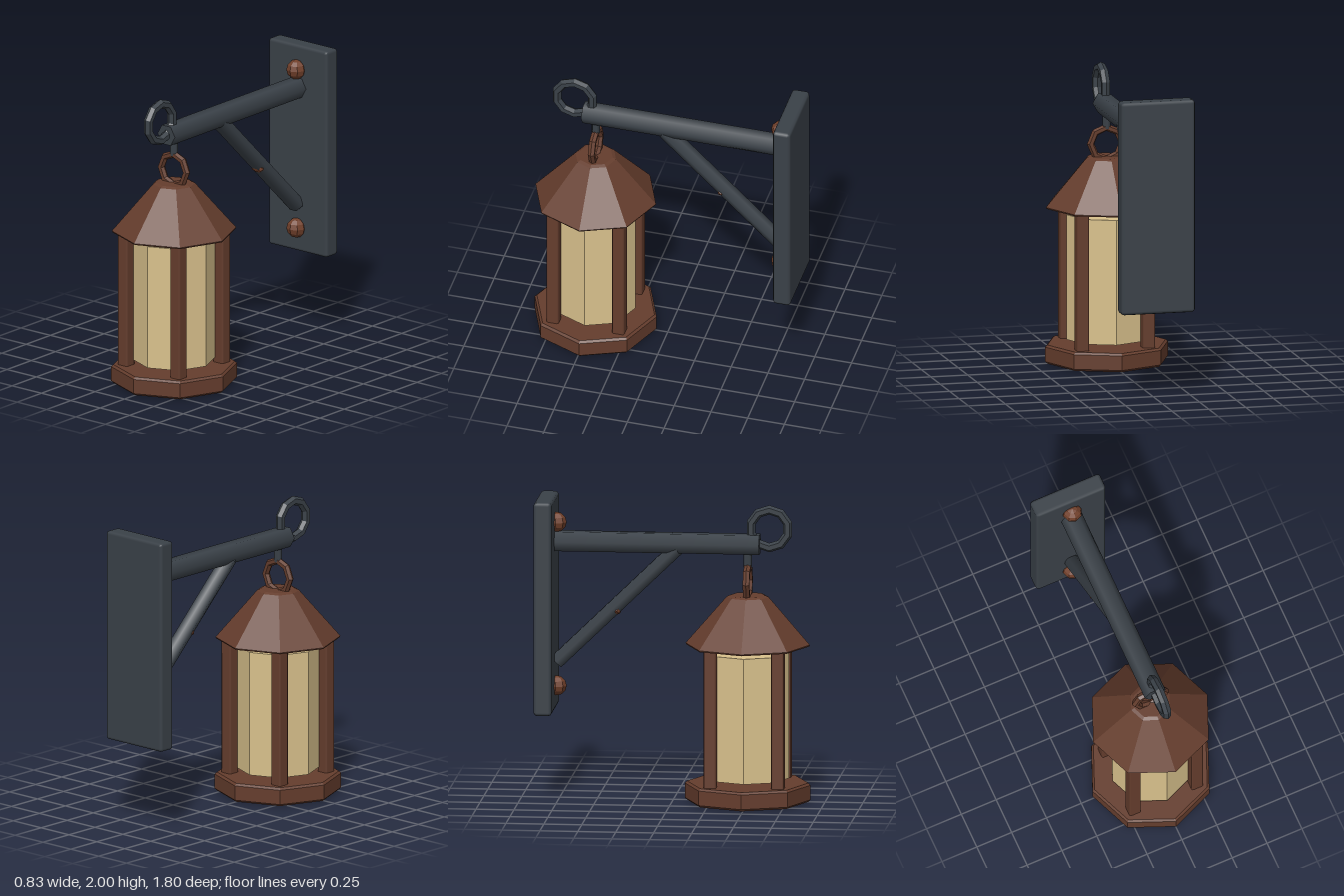
import * as THREE from 'three';
import { RoundedBoxGeometry } from 'three/addons/geometries/RoundedBoxGeometry.js';

const mat = (name, color) => {
  const m = new THREE.MeshStandardMaterial({ color });
  m.name = name;
  return m;
};

// Split every face so that facets stay crisp
function faceted(geometry) {
  const g = geometry.index ? geometry.toNonIndexed() : geometry;
  g.computeVertexNormals();
  return g;
}

export function createModel() {
  const iron = mat('dark iron', 0x3a4148);
  const copper = mat('brown copper', 0x653d2d);
  const rust = mat('rust', 0x71402b);
  const glass = mat('amber glass', 0xd9c18c);

  const model = new THREE.Group();
  model.name = 'wallLantern';
  const add = (parent, name, geometry, material, x = 0, y = 0, z = 0) => {
    const mesh = new THREE.Mesh(geometry, material);
    mesh.name = name;
    mesh.position.set(x, y, z);
    parent.add(mesh);
    return mesh;
  };

  // Six-sided bar between two points, corners facing sideways
  const bar = (name, from, to, radius) => {
    const dir = to.clone().sub(from);
    const g = new THREE.CylinderGeometry(radius, radius, dir.length(), 6);
    g.rotateY(Math.PI / 6);
    const mesh = add(bracket, name, g, iron);
    mesh.position.copy(from).add(to).multiplyScalar(0.5);
    mesh.quaternion.setFromUnitVectors(new THREE.Vector3(0, 1, 0), dir.normalize());
    return mesh;
  };

  // Wall bracket
  const bracket = new THREE.Group();
  bracket.name = 'bracket';
  model.add(bracket);
  add(bracket, 'wallPlate', new RoundedBoxGeometry(0.5, 1.42, 0.12, 1, 0.022), iron, 0, 1.29, -0.84);
  bar('arm', new THREE.Vector3(0, 1.71, -0.8), new THREE.Vector3(0, 1.71, 0.57), 0.074);
  bar('brace', new THREE.Vector3(0, 1.68, 0.03), new THREE.Vector3(0, 0.905, -0.77), 0.054);

  // Rust spot on the underside of the brace
  const spot = add(bracket, 'rustSpot', faceted(new THREE.SphereGeometry(0.04, 6, 4)), rust, 0, 1.255, -0.37);
  spot.scale.set(1.3, 0.7, 1);
  spot.rotation.x = -Math.PI / 4;

  for (const y of [1.835, 0.745]) {
    add(bracket, 'bolt', faceted(new THREE.SphereGeometry(0.066, 8, 6)), rust, 0, y, -0.77);
  }

  // Ring at the arm's end and the small hanger below it
  const scroll = new THREE.TorusGeometry(0.126, 0.031, 6, 10);
  scroll.rotateZ(Math.PI / 2).rotateY(Math.PI / 2);
  add(bracket, 'endRing', faceted(scroll), iron, 0, 1.815, 0.633);
  add(bracket, 'hanger', new THREE.CylinderGeometry(0.028, 0.028, 0.14, 6), iron, 0, 1.625, 0.49);

  // Lantern
  const lantern = new THREE.Group();
  lantern.name = 'lantern';
  lantern.position.z = 0.49;
  model.add(lantern);
  add(lantern, 'hangingRing', faceted(new THREE.TorusGeometry(0.107, 0.025, 6, 8)), copper, 0, 1.455, 0);

  const octagonal = (points) =>
    faceted(new THREE.LatheGeometry(points.map(([r, y]) => new THREE.Vector2(r, y)), 8));
  add(lantern, 'roof', octagonal([
    [0, 1.035], [0.405, 1.035], [0.41, 1.045], [0.138, 1.36], [0.115, 1.37], [0, 1.37],
  ]), copper);
  add(lantern, 'base', octagonal([
    [0, 0], [0.4, 0], [0.415, 0.014], [0.415, 0.111], [0.4, 0.125], [0, 0.125],
  ]), copper);
  add(lantern, 'glass', faceted(new THREE.CylinderGeometry(0.272, 0.272, 0.835, 8)), glass, 0, 0.573, 0);

  for (const x of [-0.223, 0.223]) {
    for (const z of [-0.223, 0.223]) {
      add(lantern, 'post', new RoundedBoxGeometry(0.083, 0.94, 0.083, 1, 0.012), copper, x, 0.57, z);
    }
  }

  return model;
}
